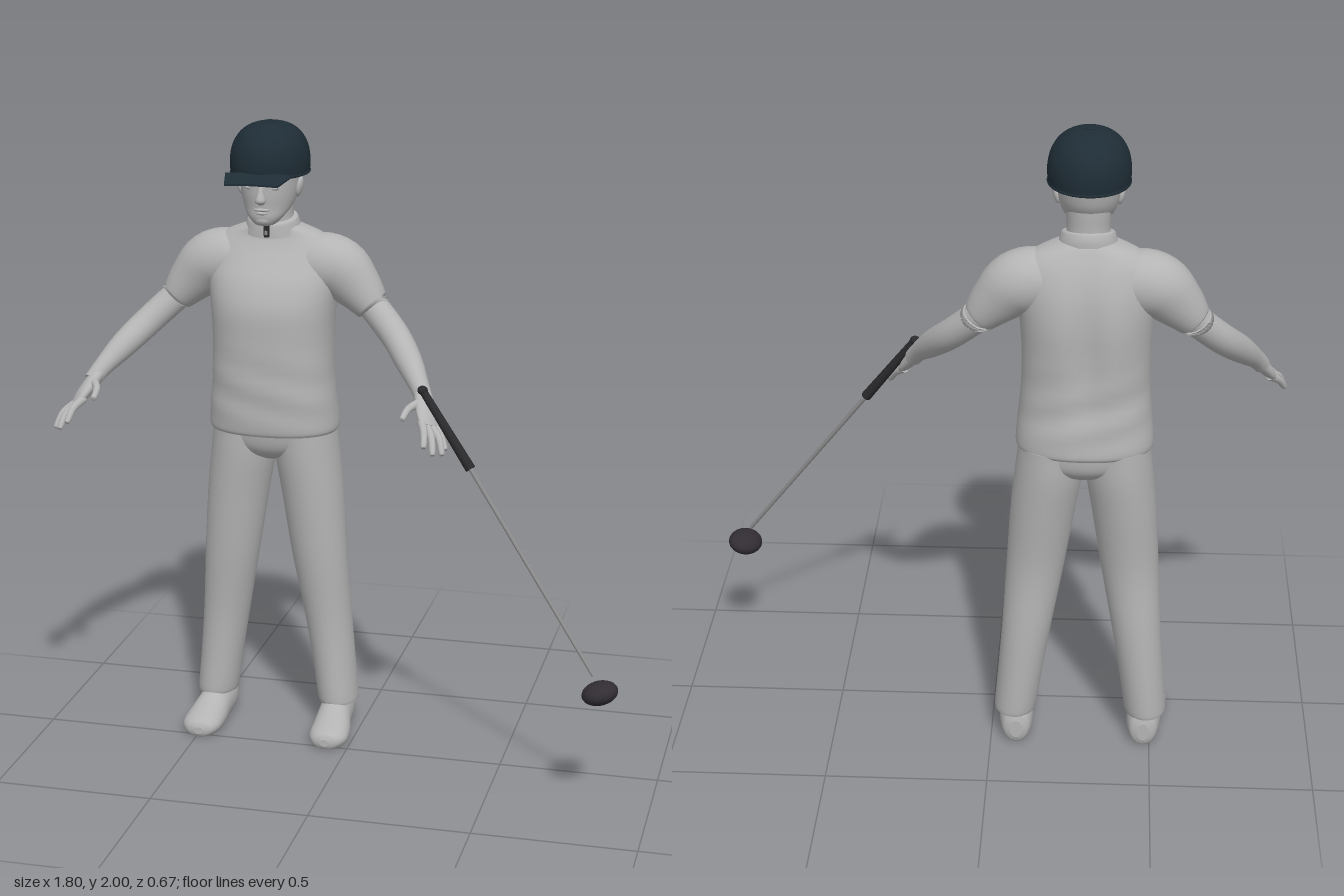
import * as THREE from 'three';

const V = (x, y, z) => new THREE.Vector3(x, y, z);
const material = (name, color, side = THREE.FrontSide) => {
  const m = new THREE.MeshStandardMaterial({ color, side });
  m.name = name;
  return m;
};
const CX = -0.28; // middle of the figure
const X = V(1, 0, 0), Y = V(0, 1, 0), Z = V(0, 0, 1);

// Smooth closed skin over elliptical sections [x, y, z, radiusA, radiusB]
function loft(stations, { dir = null, ref = X, sides = 32, sub = 4, square = 1, warp = null } = {}) {
  const path = new THREE.CatmullRomCurve3(stations.map(s => V(s[0], s[1], s[2])), false, 'catmullrom', 0.5);
  const radii = new THREE.CatmullRomCurve3(stations.map(s => V(s[3], s[4] ?? s[3], 0)), false, 'catmullrom', 0.5);
  const n = (stations.length - 1) * sub, pos = [], idx = [];
  const soft = c => Math.sign(c) * Math.abs(c) ** square;
  const ring = i => {
    const c = path.getPoint(i / n), r = radii.getPoint(i / n);
    const t = dir ?? path.getTangent(i / n);
    const u = ref.clone().addScaledVector(t, -ref.dot(t)).normalize();
    const v = t.clone().cross(u);
    for (let j = 0; j < sides; j++) {
      const a = j / sides * Math.PI * 2;
      const p = c.clone().addScaledVector(u, r.x * soft(Math.cos(a))).addScaledVector(v, r.y * soft(Math.sin(a)));
      if (warp) warp(p);
      pos.push(p.x, p.y, p.z);
    }
    return c;
  };
  for (let i = 0; i <= n; i++) ring(i);
  for (let i = 0; i < n; i++) for (let j = 0; j < sides; j++) {
    const k = (j + 1) % sides, a = i * sides, b = a + sides;
    idx.push(a + j, a + k, b + k, a + j, b + k, b + j);
  }
  for (const end of [0, n]) { // flat end caps
    const base = pos.length / 3, c = ring(end);
    if (warp) warp(c);
    pos.push(c.x, c.y, c.z);
    for (let j = 0; j < sides; j++) {
      const k = base + (j + 1) % sides;
      if (end) idx.push(base + sides, base + j, k); else idx.push(base + sides, k, base + j);
    }
  }
  const g = new THREE.BufferGeometry();
  g.setAttribute('position', new THREE.Float32BufferAttribute(pos, 3));
  g.setIndex(idx);
  g.computeVertexNormals();
  return g;
}

export function createModel() {
  const root = new THREE.Group();
  root.name = 'golfer';
  const body = material('body grey', 0xb4b4b4);
  const navy = material('cap navy', 0x1f2d36, THREE.DoubleSide);
  const black = material('grip black', 0x2a2a2d);
  const steel = material('shaft steel', 0x8c8c8c);
  const charcoal = material('club head charcoal', 0x312d33);

  const add = (name, geo, mat = body, parent = root) => {
    const m = new THREE.Mesh(geo, mat);
    m.name = name;
    parent.add(m);
    return m;
  };
  const blob = (name, p, r, mat = body) => {
    const m = add(name, new THREE.SphereGeometry(1, 20, 14), mat);
    m.position.set(...p);
    m.scale.set(...r);
    return m;
  };
  const rod = (name, a, b, ra, rb, mat) => {
    const m = add(name, new THREE.CylinderGeometry(rb, ra, a.distanceTo(b), 16), mat);
    m.position.copy(a).add(b).multiplyScalar(0.5);
    m.quaternion.setFromUnitVectors(Y, b.clone().sub(a).normalize());
    return m;
  };
  const upright = rows => rows.map(([y, z, rx, rz]) => [CX, y, z, rx, rz]);

  // Shirt body with a spine groove and slight cloth folds
  add('shirt', loft(upright([
    [1.018, -0.185, 0.202, 0.143], [1.035, -0.185, 0.208, 0.15], [1.1, -0.181, 0.203, 0.15],
    [1.2, -0.176, 0.194, 0.148], [1.32, -0.178, 0.192, 0.152], [1.42, -0.181, 0.198, 0.154],
    [1.5, -0.19, 0.207, 0.138], [1.56, -0.2, 0.208, 0.114], [1.61, -0.205, 0.197, 0.09],
    [1.645, -0.203, 0.155, 0.074], [1.67, -0.195, 0.095, 0.068], [1.68, -0.19, 0.07, 0.06],
  ]), {
    dir: Y, sides: 56, square: 0.88, warp: p => {
      const dx = p.x - CX;
      if (p.z < -0.25) p.z += 0.022 * Math.exp(-((dx / 0.045) ** 2)) * Math.exp(-(((p.y - 1.38) / 0.2) ** 2));
      const fold = Math.max(0, 1 - Math.abs(p.y - 1.17) / 0.16);
      p.z += 0.004 * fold * Math.sin(p.y * 55 + dx * 14);
    },
  }));

  // Collar, dipping at the front, with a zip
  add('collar', loft(upright([
    [1.655, -0.185, 0.09, 0.078], [1.675, -0.185, 0.085, 0.077], [1.695, -0.183, 0.079, 0.073], [1.7, -0.183, 0.074, 0.068],
  ]), { dir: Y, warp: p => { p.y -= (p.z + 0.185) * 0.2; } }));
  add('zip', new THREE.BoxGeometry(0.016, 0.038, 0.012), black).position.set(CX, 1.664, -0.108);
  add('zipPull', new THREE.BoxGeometry(0.008, 0.012, 0.006), steel).position.set(CX, 1.66, -0.101);

  // Neck and head
  add('neck', loft(upright([
    [1.62, -0.195, 0.075, 0.068], [1.7, -0.187, 0.064, 0.064], [1.76, -0.185, 0.066, 0.068], [1.82, -0.185, 0.07, 0.07],
  ]), { dir: Y }));
  add('head', loft(upright([
    [1.687, -0.09, 0.015, 0.02], [1.693, -0.092, 0.034, 0.036], [1.715, -0.103, 0.056, 0.055],
    [1.745, -0.135, 0.075, 0.088], [1.78, -0.15, 0.086, 0.107], [1.82, -0.157, 0.092, 0.115],
    [1.87, -0.16, 0.094, 0.118], [1.93, -0.16, 0.07, 0.09],
  ]), { dir: Y, sides: 40 }));
  add('nose', loft([
    [CX, 1.825, -0.052, 0.009, 0.01], [CX, 1.795, -0.044, 0.011, 0.014],
    [CX, 1.77, -0.039, 0.017, 0.018], [CX, 1.758, -0.044, 0.008, 0.008],
  ], { dir: V(0, -1, 0), sides: 16 }));
  blob('upperLip', [CX, 1.741, -0.054], [0.026, 0.006, 0.012]);
  blob('lowerLip', [CX, 1.73, -0.056], [0.021, 0.007, 0.012]);
  blob('chin', [CX, 1.708, -0.064], [0.026, 0.017, 0.016]);

  // Cap: crown, band, button and a tapered brim
  const crown = new THREE.SplineCurve([[0.12, 0], [0.122, 0.045], [0.113, 0.09], [0.089, 0.128], [0.05, 0.151], [0, 0.158]]
    .map(p => new THREE.Vector2(...p))).getPoints(24);
  crown[24].x = 0;
  const cap = new THREE.Group();
  cap.name = 'cap';
  cap.position.set(CX, 1.84, -0.157);
  cap.scale.z = 1.22;
  root.add(cap);
  add('capCrown', new THREE.LatheGeometry(crown, 48), navy, cap);
  const band = add('capBand', new THREE.TorusGeometry(0.118, 0.005, 8, 48), navy, cap);
  band.rotation.x = Math.PI / 2;
  band.position.y = 0.004;
  blob('capButton', [CX, 1.998, -0.157], [0.012, 0.005, 0.012], navy);
  const brimGeo = new THREE.BoxGeometry(0.21, 0.006, 0.09, 12, 1, 4);
  const bp = brimGeo.attributes.position;
  for (let i = 0; i < bp.count; i++) {
    const f = bp.getZ(i) / 0.09 + 0.5, x = bp.getX(i) * (1 - 0.21 * f);
    bp.setXYZ(i, x, bp.getY(i) + 0.005 - 0.018 * f - x * x * 0.3, bp.getZ(i));
  }
  brimGeo.computeVertexNormals();
  add('capBrim', brimGeo, navy).position.set(CX, 1.852, 0.022);

  // Trouser seat joining the legs
  add('trouserSeat', loft(upright([
    [0.922, -0.19, 0.05, 0.06], [0.945, -0.19, 0.13, 0.1], [0.98, -0.192, 0.185, 0.125], [1.04, -0.19, 0.198, 0.135],
  ]), { dir: Y, sides: 40 }));

  for (const s of [-1, 1]) {
    const side = s > 0 ? 'left' : 'right';
    const at = rows => rows.map(([dx, ...rest]) => [CX + s * dx, ...rest]);

    // Trouser leg and shoe
    add(side + 'TrouserLeg', loft(at([
      [0.206, 0.095, -0.198, 0.063, 0.08], [0.203, 0.12, -0.198, 0.066, 0.083], [0.188, 0.25, -0.2, 0.07, 0.082],
      [0.17, 0.4, -0.198, 0.077, 0.083], [0.146, 0.6, -0.186, 0.089, 0.09], [0.124, 0.8, -0.19, 0.099, 0.109],
      [0.107, 0.93, -0.193, 0.103, 0.122], [0.1, 1.03, -0.193, 0.098, 0.125],
    ]), { dir: Y }));
    add(side + 'Shoe', loft(at([
      [0.2, 0.05, -0.278, 0.02, 0.03], [0.2, 0.055, -0.265, 0.042, 0.058], [0.201, 0.058, -0.22, 0.052, 0.07],
      [0.204, 0.05, -0.15, 0.054, 0.066], [0.21, 0.035, -0.08, 0.062, 0.052], [0.213, 0.03, -0.02, 0.062, 0.038],
      [0.212, 0.028, 0.015, 0.044, 0.028], [0.211, 0.026, 0.026, 0.016, 0.012],
    ]), { dir: Z, warp: p => { p.y = Math.max(p.y, 0.003); } }));

    // Sleeve, arm and hand
    add(side + 'Sleeve', loft(at([
      [0.08, 1.54, -0.2, 0.085, 0.085], [0.15, 1.55, -0.202, 0.098, 0.094], [0.21, 1.535, -0.202, 0.096, 0.092],
      [0.265, 1.485, -0.197, 0.079, 0.075], [0.312, 1.432, -0.19, 0.057, 0.06], [0.317, 1.427, -0.19, 0.051, 0.054],
    ]), { ref: Y }));
    add(side + 'Arm', loft(at([
      [0.27, 1.475, -0.197, 0.049], [0.32, 1.425, -0.187, 0.047], [0.4, 1.348, -0.14, 0.046],
      [0.46, 1.285, -0.07, 0.042], [0.51, 1.225, 0.0, 0.03], [0.533, 1.19, 0.034, 0.027],
    ]), { ref: Y, sides: 24 }));
    add(side + 'Palm', loft(at([
      [0.515, 1.215, 0.01, 0.025, 0.022], [0.533, 1.185, 0.045, 0.034, 0.021],
      [0.55, 1.155, 0.08, 0.041, 0.019], [0.563, 1.132, 0.105, 0.036, 0.013],
    ]), { ref: V(-0.03 * s, 0.015, 0.045), sides: 24 }));
    const fingers = {
      LittleFinger: [[0.565, 1.135, 0.07], [0.595, 1.108, 0.1], [0.614, 1.076, 0.124]],
      RingFinger: [[0.56, 1.135, 0.09], [0.595, 1.11, 0.128], [0.611, 1.07, 0.156]],
      MiddleFinger: [[0.55, 1.14, 0.1], [0.577, 1.115, 0.15], [0.588, 1.076, 0.184]],
      IndexFinger: [[0.538, 1.15, 0.108], [0.555, 1.13, 0.155], [0.562, 1.098, 0.19]],
      Thumb: [[0.522, 1.195, 0.05], [0.495, 1.185, 0.1], [0.488, 1.168, 0.148]],
    };
    for (const [name, [a, b, c]] of Object.entries(fingers)) {
      const tip = c.map((v, i) => v + (v - b[i]) * 0.12);
      add(side + name, loft(at([[...a, 0.014], [...b, 0.0115], [...c, 0.009], [...tip, 0.002]]), { ref: Y, sides: 12 }));
    }

    // Ear, eye and brow
    blob(side + 'Ear', [CX + s * 0.094, 1.8, -0.15], [0.011, 0.032, 0.02]).rotation.z = -s * 0.2;
    blob(side + 'Eye', [CX + s * 0.036, 1.808, -0.062], [0.018, 0.008, 0.012]);
    blob(side + 'Brow', [CX + s * 0.038, 1.828, -0.06], [0.026, 0.006, 0.014]);
  }

  // Golf club held in the left hand
  const top = V(0.25, 1.235, 0.058), mid = V(0.412, 1.015, 0.115), low = V(0.825, 0.45, 0.28);
  rod('clubGrip', top, mid, 0.012, 0.016, black);
  blob('clubGripEnd', top.toArray(), [0.016, 0.014, 0.016], black);
  rod('clubShaft', mid, low, 0.007, 0.006, steel);
  const head = blob('clubHead', [0.845, 0.398, 0.28], [0.054, 0.035, 0.061], charcoal);
  head.rotation.set(0, -0.35, 0.25);
  return root;
}
